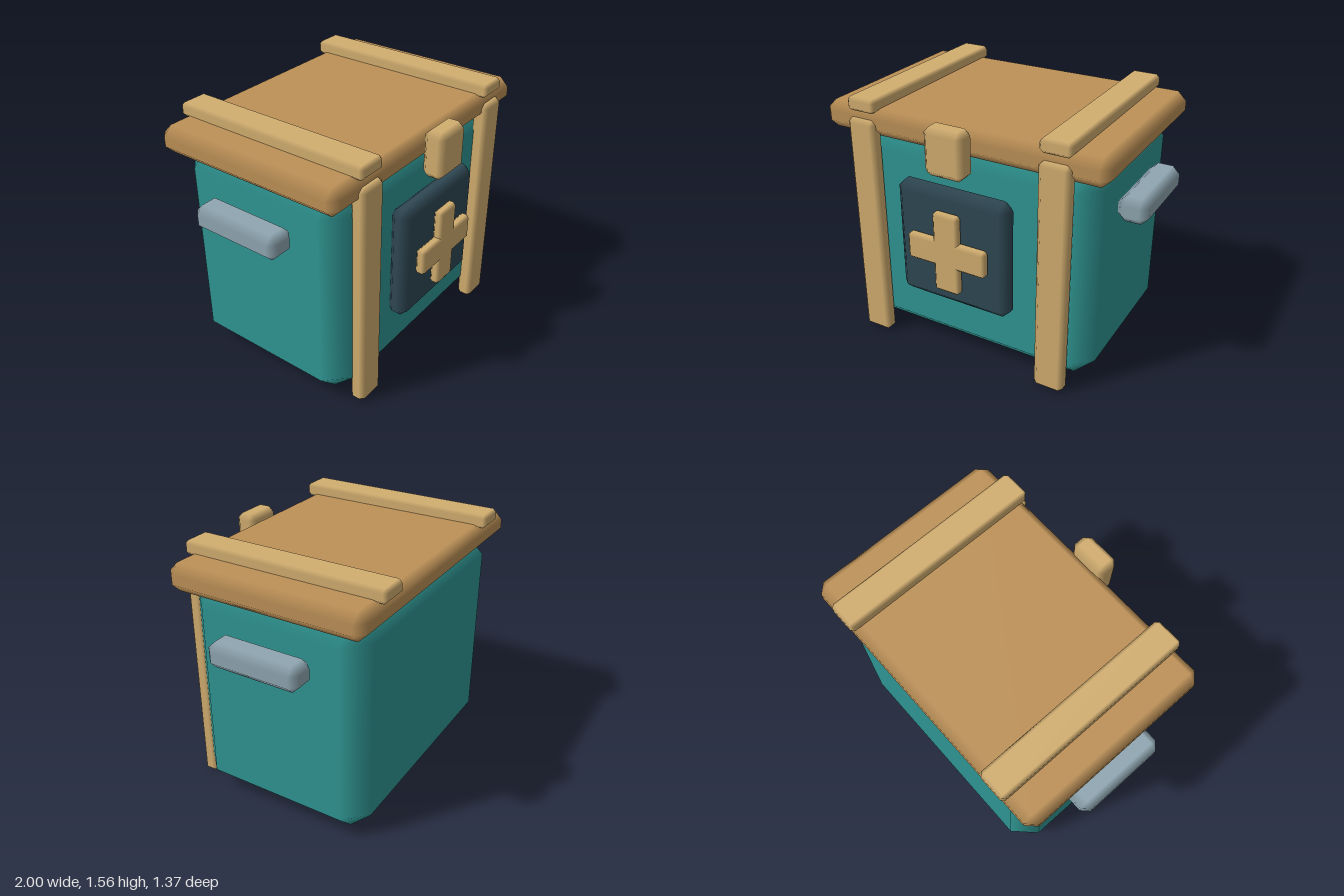
import * as THREE from 'three';

const colour = (name, hex) => {
  const m = new THREE.MeshStandardMaterial({ color: hex });
  m.name = name;
  return m;
};

// Box with one chamfer on every edge; face normals blend smoothly across the chamfers
function chamferBox(size, bevel) {
  const positions = [], normals = [], index = [];
  const signs = [-1, 1];
  const id = (axis, s) => axis * 8 + (s[0] + 1) * 2 + (s[1] + 1) + (s[2] + 1) / 2;
  for (let axis = 0; axis < 3; axis++)
    for (const x of signs) for (const y of signs) for (const z of signs) {
      [x, y, z].forEach((s, k) => {
        positions.push(s * (size[k] / 2 - (k === axis ? 0 : bevel)));
        normals.push(k === axis ? s : 0);
      });
    }
  const point = i => new THREE.Vector3().fromArray(positions, i * 3);
  // Every triangle is wound to face away from the centre
  const tri = (a, b, c) => {
    const pa = point(a);
    const n = point(b).sub(pa).cross(point(c).sub(pa));
    if (n.dot(pa) > 0) index.push(a, b, c);
    else index.push(a, c, b);
  };
  const quad = (a, b, c, d) => { tri(a, b, c); tri(a, c, d); };
  for (let axis = 0; axis < 3; axis++) {
    const u = (axis + 1) % 3, v = (axis + 2) % 3;
    const at = (face, a, b, c) => {
      const s = [];
      s[axis] = a; s[u] = b; s[v] = c;
      return id(face, s);
    };
    // Flat faces
    for (const a of signs)
      quad(at(axis, a, -1, -1), at(axis, a, 1, -1), at(axis, a, 1, 1), at(axis, a, -1, 1));
    // Chamfers running along this axis
    for (const b of signs) for (const c of signs)
      quad(at(u, -1, b, c), at(u, 1, b, c), at(v, 1, b, c), at(v, -1, b, c));
  }
  // Corner triangles
  for (const x of signs) for (const y of signs) for (const z of signs)
    tri(id(0, [x, y, z]), id(1, [x, y, z]), id(2, [x, y, z]));
  const g = new THREE.BufferGeometry();
  g.setAttribute('position', new THREE.Float32BufferAttribute(positions, 3));
  g.setAttribute('normal', new THREE.Float32BufferAttribute(normals, 3));
  g.setIndex(index);
  return g;
}

export function createModel() {
  const group = new THREE.Group();
  const teal = colour('teal', 0x2f9693);
  const lidWood = colour('lidWood', 0xbd9157);
  const paleWood = colour('paleWood', 0xd2ae70);
  const slate = colour('slate', 0x2f4854);
  const steel = colour('steel', 0x8fa6b1);

  // Adds a part by its [min, max] range on each axis
  const part = (name, material, x, y, z, bevel) => {
    const ranges = [x, y, z];
    const mesh = new THREE.Mesh(chamferBox(ranges.map(r => r[1] - r[0]), bevel), material);
    mesh.position.fromArray(ranges.map(r => (r[0] + r[1]) / 2));
    mesh.name = name;
    group.add(mesh);
  };

  // Chest
  part('body', teal, [-0.82, 0.82], [0.02, 1.38], [-0.62, 0.515], 0.13);
  part('lid', lidWood, [-0.9, 0.9], [1.33, 1.497], [-0.668, 0.562], 0.055);
  part('latch', paleWood, [-0.125, 0.125], [1.24, 1.525], [0.55, 0.685], 0.035);

  // Slats, straps and handles on both sides
  for (const [side, s] of [['left', 1], ['right', -1]]) {
    const mirror = (a, b) => (s > 0 ? [a, b] : [-b, -a]);
    part(side + 'LidSlat', paleWood, mirror(0.52, 0.705), [1.477, 1.56], [-0.685, 0.582], 0.02);
    part(side + 'FrontStrap', paleWood, mirror(0.52, 0.705), [0, 1.437], [0.5, 0.595], 0.027);
    part(side + 'Handle', steel, mirror(0.82, 1), [1, 1.155], [-0.343, 0.238], 0.045);
  }

  // Front panel with a raised cross
  part('panel', slate, [-0.365, 0.365], [0.405, 1.14], [0.5, 0.63], 0.05);
  part('crossUpright', paleWood, [-0.083, 0.083], [0.523, 1.028], [0.625, 0.684], 0.018);
  part('crossBar', paleWood, [-0.255, 0.255], [0.69, 0.855], [0.625, 0.686], 0.018);

  return group;
}
